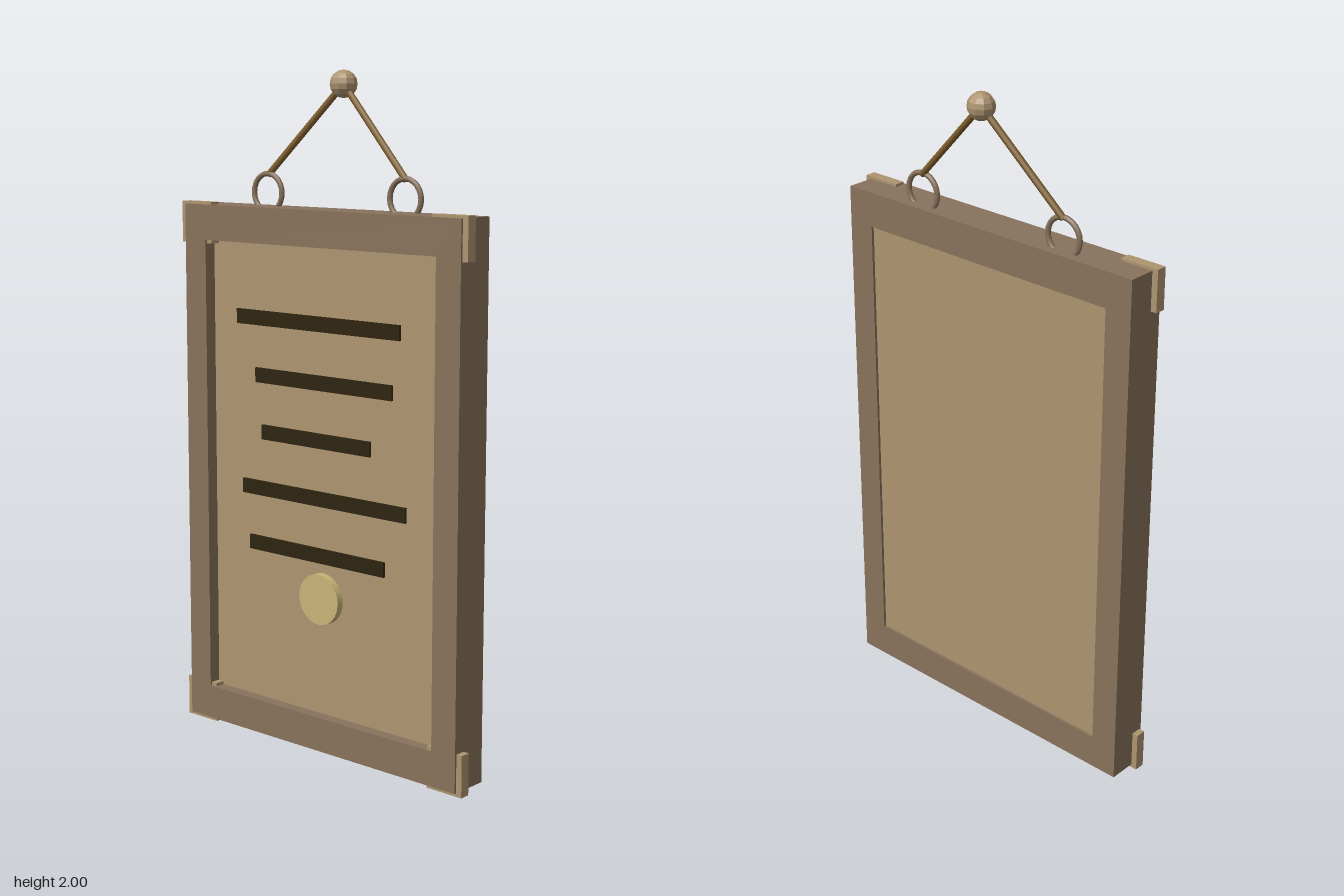
import * as THREE from 'three';

const mat = (name, color, flatShading = false) => {
  const m = new THREE.MeshStandardMaterial({ color, flatShading });
  m.name = name;
  return m;
};

export function createModel() {
  const root = new THREE.Group();
  root.name = 'hangingNotice';
  const frameWood = mat('frameWood', 0x88725c);
  const paleWood = mat('paleWood', 0xad9470);
  const knobWood = mat('knobWood', 0xad9470, true);
  const ink = mat('ink', 0x2e2410);
  const wax = mat('sealWax', 0xc8b378);
  const cord = mat('cord', 0x80602f);
  const ringMetal = mat('ringMetal', 0x88725c);

  const add = (name, geometry, material, x = 0, y = 0, z = 0) => {
    const mesh = new THREE.Mesh(geometry, material);
    mesh.name = name;
    mesh.position.set(x, y, z);
    root.add(mesh);
    return mesh;
  };
  const box = (name, material, x0, x1, y0, y1, z0, z1) =>
    add(name, new THREE.BoxGeometry(x1 - x0, y1 - y0, z1 - z0), material,
      (x0 + x1) / 2, (y0 + y1) / 2, (z0 + z1) / 2);

  // Rectangular frame with an opening
  const rect = (path, x, y0, y1) =>
    path.moveTo(-x, y0).lineTo(x, y0).lineTo(x, y1).lineTo(-x, y1).closePath();
  const outline = rect(new THREE.Shape(), 0.525, 0.015, 1.61);
  outline.holes.push(rect(new THREE.Path(), 0.44, 0.118, 1.505));
  add('frame', new THREE.ExtrudeGeometry(outline, { depth: 0.122, bevelEnabled: false }),
    frameWood, 0, 0, -0.04);

  // Panel set into the frame
  box('panel', paleWood, -0.445, 0.445, 0.113, 1.51, -0.032, 0.045);

  // Writing strokes: left, right, height
  const strokes = [[-0.34, 0.29, 1.283], [-0.265, 0.263, 1.112], [-0.24, 0.183, 0.942],
    [-0.32, 0.315, 0.77], [-0.292, 0.236, 0.6]];
  for (const [x0, x1, y] of strokes)
    box('writingStroke', ink, x0, x1, y - 0.022, y + 0.022, 0.044, 0.053);

  // Round seal
  add('seal', new THREE.CylinderGeometry(0.076, 0.076, 0.025, 24), wax, 0, 0.473, 0.055)
    .rotation.x = Math.PI / 2;

  // Corner brackets, hanging rings and cords, mirrored left and right
  const apex = new THREE.Vector3(0, 1.962, -0.043);
  for (const s of [-1, 1]) {
    for (const y of [0.067, 1.556])
      add('cornerBracket', new THREE.BoxGeometry(0.123, 0.123, 0.032), paleWood, s * 0.482, y, 0.06);

    add('hangingRing', new THREE.TorusGeometry(0.056, 0.008, 8, 24), ringMetal, s * 0.262, 1.648, -0.004);

    const end = new THREE.Vector3(s * 0.262, 1.7, -0.006);
    const rod = add('hangingCord', new THREE.CylinderGeometry(0.01, 0.01, apex.distanceTo(end), 8), cord);
    rod.position.copy(apex).add(end).multiplyScalar(0.5);
    rod.quaternion.setFromUnitVectors(new THREE.Vector3(0, 1, 0), apex.clone().sub(end).normalize());
  }

  // Faceted knob at the top
  add('knob', new THREE.SphereGeometry(0.04, 10, 8), knobWood, apex.x, apex.y, apex.z);
  return root;
}
